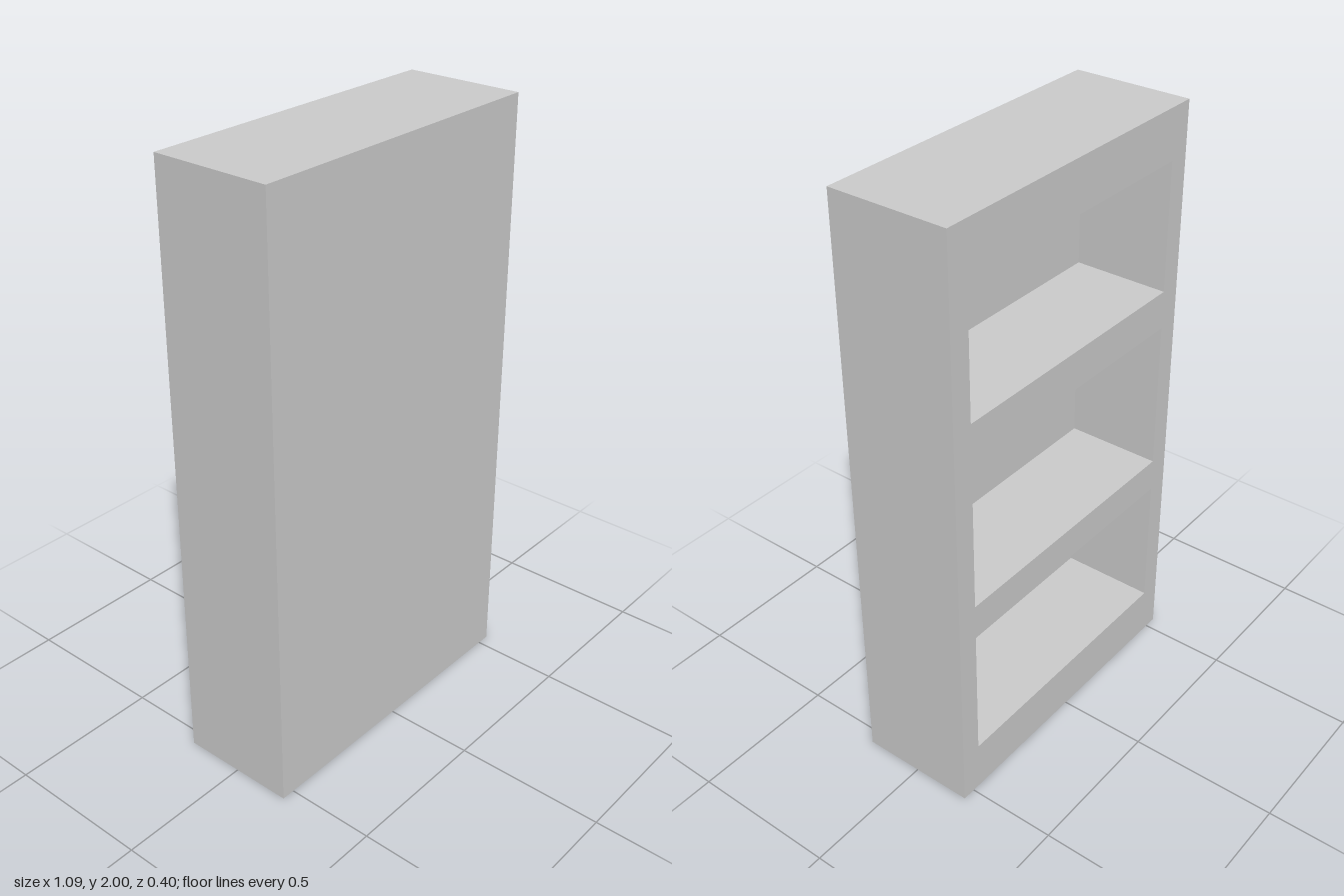
import * as THREE from 'three';

const WIDTH = 1.09, HEIGHT = 2, DEPTH = 0.4, WALL = 0.073;
// bottom and top height of each compartment
const COMPARTMENTS = [[0.175, 0.641], [0.754, 1.269], [1.398, 1.832]];

// trace a rectangle on a Shape or Path
function rect(path, x0, y0, x1, y1) {
  path.moveTo(x0, y0);
  path.lineTo(x1, y0);
  path.lineTo(x1, y1);
  path.lineTo(x0, y1);
  path.closePath();
  return path;
}

export function createModel() {
  const group = new THREE.Group();
  group.name = 'bookcase';
  const material = new THREE.MeshStandardMaterial({ color: 0xcccccc, flatShading: true });

  // sides and shelves in one piece, compartments open towards -z
  const outline = rect(new THREE.Shape(), -WIDTH / 2, 0, WIDTH / 2, HEIGHT);
  const inner = WIDTH / 2 - WALL;
  for (const [bottom, top] of COMPARTMENTS) {
    outline.holes.push(rect(new THREE.Path(), -inner, bottom, inner, top));
  }
  const frame = new THREE.Mesh(
    new THREE.ExtrudeGeometry(outline, { depth: DEPTH - WALL, bevelEnabled: false }), material);
  frame.name = 'shelfFrame';
  frame.position.z = -DEPTH / 2;
  group.add(frame);

  // solid panel closing the +z face
  const panel = new THREE.Mesh(new THREE.BoxGeometry(WIDTH, HEIGHT, WALL), material);
  panel.name = 'closingPanel';
  panel.position.set(0, HEIGHT / 2, (DEPTH - WALL) / 2);
  group.add(panel);

  return group;
}
